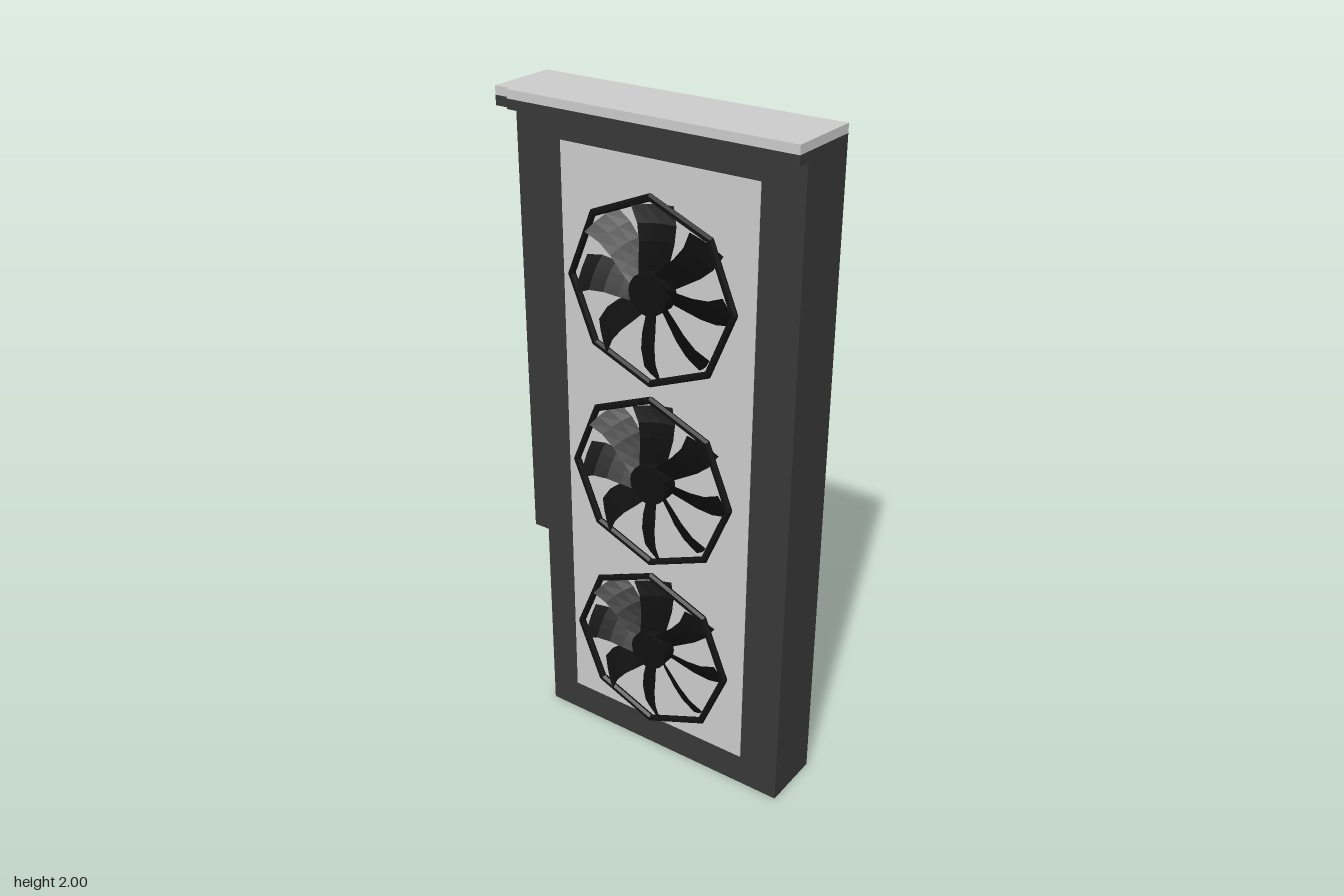
import * as THREE from 'three';

const material = (color, extra = {}) => new THREE.MeshStandardMaterial({ color, ...extra });
const dark = material(0x383838);
const grey = material(0xcccccc);
const gold = material(0x8b6508);
const black = material(0x111111, { flatShading: true, side: THREE.DoubleSide });

function add(parent, name, geometry, mat) {
  const mesh = new THREE.Mesh(geometry, mat);
  mesh.name = name;
  parent.add(mesh);
  return mesh;
}

// Box given by its limits on each axis
function box(parent, name, mat, [x0, x1], [y0, y1], [z0, z1]) {
  const mesh = add(parent, name, new THREE.BoxGeometry(x1 - x0, y1 - y0, z1 - z0), mat);
  mesh.position.set((x0 + x1) / 2, (y0 + y1) / 2, (z0 + z1) / 2);
  return mesh;
}

// Horizontal slab with a notched corner, between two heights
function capSlab(parent, name, mat, y0, y1) {
  const outline = [[-0.105, 0.485], [-0.105, -0.405], [-0.092, -0.405], [-0.092, -0.455], [0.125, -0.455], [0.125, 0.485]];
  const shape = new THREE.Shape(outline.map(([x, z]) => new THREE.Vector2(x, z)));
  const geometry = new THREE.ExtrudeGeometry(shape, { depth: y1 - y0, bevelEnabled: false });
  geometry.rotateX(Math.PI / 2);
  add(parent, name, geometry, mat).position.y = y1;
}

// Pitched blade around the x axis, a grid bent into radius, angle and depth
function bladeGeometry() {
  const geometry = new THREE.PlaneGeometry(1, 1, 4, 3);
  const p = geometry.attributes.position;
  for (let i = 0; i < p.count; i++) {
    const t = p.getX(i) + 0.5;
    const w = p.getY(i);
    const r = 0.05 + 0.19 * t;
    const chord = 0.06 + 0.035 * t;
    const angle = (w * chord) / r - 0.2 * t * (1 - t) * 2;
    p.setXYZ(i, -w * (0.045 + 0.01 * t), r * Math.sin(angle), r * Math.cos(angle));
  }
  geometry.computeVertexNormals();
  return geometry;
}

function createFan() {
  const fan = new THREE.Group();
  fan.name = 'fan';
  const ring = new THREE.TorusGeometry(0.26, 0.011, 6, 8).rotateY(Math.PI / 2);
  add(fan, 'fanRing', ring, black).position.x = -0.01;
  const hub = new THREE.CylinderGeometry(0.06, 0.06, 0.05, 16).rotateZ(Math.PI / 2);
  add(fan, 'fanHub', hub, black);
  const blade = bladeGeometry();
  const count = 8;
  for (let i = 0; i < count; i++) {
    add(fan, 'fanBlade', blade, black).rotation.x = (i * 2 * Math.PI) / count;
  }
  return fan;
}

// Gold connector with grey faces on both sides
function connector(parent, y0, y1) {
  const group = new THREE.Group();
  group.name = 'connector';
  parent.add(group);
  box(group, 'connectorCore', gold, [0.03, 0.046], [y0, y1], [-0.485, -0.405]);
  box(group, 'connectorFace', grey, [0.028, 0.048], [y0 + 0.002, y1 - 0.02], [-0.475, -0.405]);
}

export function createModel() {
  const model = new THREE.Group();
  model.name = 'fanCooledCard';

  // Main slab with its stepped rear edge
  box(model, 'body', dark, [-0.065, 0.125], [0, 1.95], [-0.357, 0.485]);
  box(model, 'rearStep', dark, [-0.063, 0.125], [0.645, 1.95], [-0.41, -0.35]);
  box(model, 'rearPlate', grey, [-0.063, 0.123], [0.004, 0.66], [-0.36, -0.35]);
  box(model, 'fanPanel', grey, [-0.067, -0.05], [0.1, 1.88], [-0.26, 0.36]);

  // Two-layer end cap
  capSlab(model, 'capBase', dark, 1.947, 1.975);
  capSlab(model, 'capTop', grey, 1.975, 2);

  // Edge connectors
  connector(model, 1.355, 1.845);
  connector(model, 1.145, 1.25);

  // Row of three fans
  for (const y of [0.395, 0.965, 1.535]) {
    const fan = createFan();
    fan.position.set(-0.097, y, 0.06);
    model.add(fan);
  }
  return model;
}
